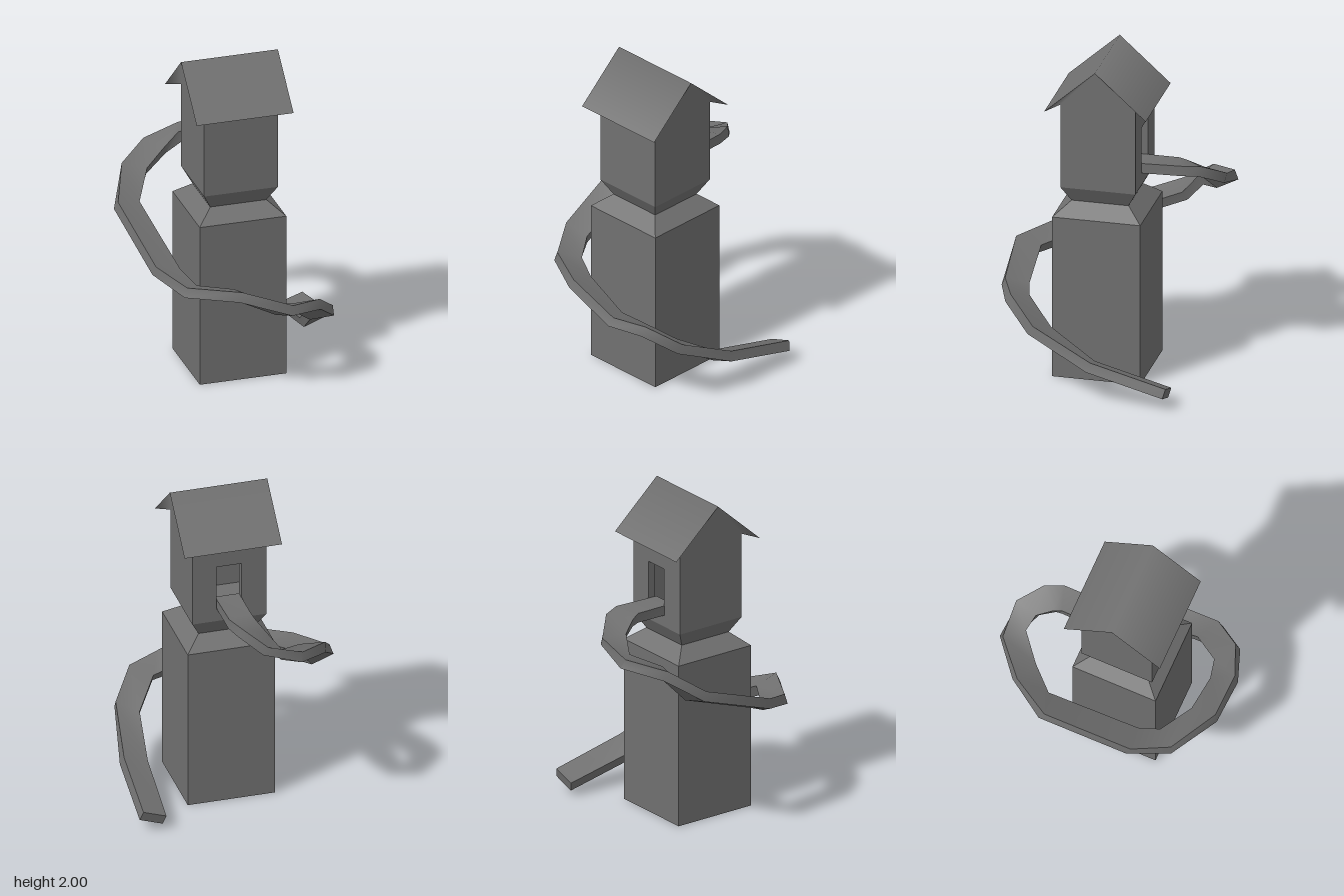
import * as THREE from 'three';
import { toCreasedNormals } from 'three/addons/utils/BufferGeometryUtils.js';

const makeMat = (flat = true) => new THREE.MeshStandardMaterial({ color: 0x707070, flatShading: flat, side: THREE.DoubleSide });

function add(parent, name, geometry, material = makeMat()) {
  const mesh = new THREE.Mesh(geometry, material);
  mesh.name = name;
  parent.add(mesh);
  return mesh;
}

// Square block or frustum given by half widths and heights
function squareBlock(halfBottom, halfTop, y0, y1) {
  const g = new THREE.CylinderGeometry(halfTop * Math.SQRT2, halfBottom * Math.SQRT2, y1 - y0, 4);
  g.rotateY(Math.PI / 4);
  g.translate(0, (y0 + y1) / 2, 0);
  return g;
}

// Indexed surface; normals are given where the shading should blend
function fromPoints(points, index, normals) {
  const g = new THREE.BufferGeometry();
  g.setAttribute('position', new THREE.Float32BufferAttribute(points.flat(), 3));
  g.setIndex(index);
  if (normals) {
    g.setAttribute('normal', new THREE.Float32BufferAttribute(normals.flat(), 3));
    g.normalizeNormals();
  } else g.computeVertexNormals();
  return g;
}

// Cabin: three plain walls and a back wall with a doorway
const HALF = 0.23, WALL = 0.05, FLOOR = 1.21, TOP = 1.745;
function buildCabin(parent) {
  const h = TOP - FLOOR, mid = (TOP + FLOOR) / 2;
  add(parent, 'frontWall', new THREE.BoxGeometry(HALF * 2, h, WALL)).position.set(0, mid, HALF - WALL / 2);
  for (const s of [-1, 1]) {
    add(parent, s > 0 ? 'leftWall' : 'rightWall', new THREE.BoxGeometry(WALL, h, HALF * 2))
      .position.set(s * (HALF - WALL / 2), mid, 0);
  }
  const rect = (path, x0, x1, y0, y1) => {
    path.moveTo(x0, y0);
    path.lineTo(x1, y0);
    path.lineTo(x1, y1);
    path.lineTo(x0, y1);
    path.closePath();
    return path;
  };
  const wall = rect(new THREE.Shape(), -HALF, HALF, FLOOR, TOP);
  wall.holes.push(rect(new THREE.Path(), -0.075, 0.08, 1.29, 1.58));
  add(parent, 'backWall', new THREE.ExtrudeGeometry(wall, { depth: WALL, bevelEnabled: false })).position.z = -HALF;
}

// Gabled roof: softly rounded slopes, with soffits and gables joining them to the walls
function buildRoof(parent) {
  const X = 0.302, Z = 0.312, EAVE = 1.72, RIDGE = 2;
  const front = [0, Z, RIDGE - EAVE], back = [0, Z, EAVE - RIDGE], up = [0, 1, 0];
  add(parent, 'roofSlopes', fromPoints(
    [[-X, EAVE, Z], [X, EAVE, Z], [-X, RIDGE, 0], [X, RIDGE, 0], [-X, EAVE, -Z], [X, EAVE, -Z]],
    [0, 1, 3, 0, 3, 2, 2, 3, 5, 2, 5, 4],
    [front, front, up, up, back, back]), makeMat(false));
  for (const s of [-1, 1]) {
    add(parent, 'roofSoffit', fromPoints(
      [[-X, EAVE, s * Z], [X, EAVE, s * Z], [HALF, TOP, s * HALF], [-HALF, TOP, s * HALF]],
      s > 0 ? [0, 3, 2, 0, 2, 1] : [0, 2, 3, 0, 1, 2]));
    const out = [s, 0, 0];
    add(parent, 'roofGable', fromPoints(
      [[s * X, EAVE, Z], [s * HALF, TOP, HALF], [s * X, RIDGE, 0], [s * HALF, TOP, -HALF], [s * X, EAVE, -Z]],
      s > 0 ? [0, 2, 1, 1, 2, 3, 3, 2, 4].reverse() : [0, 2, 1, 1, 2, 3, 3, 2, 4],
      [[s * 0.45, -0.66, -0.6], out, out, out, [s * 0.45, -0.66, 0.6]]), makeMat(false));
  }
}

// Slide: top edge points of each section, outer x y z then inner x y z
const SLIDE = [
  [0.06, 1.345, -0.11, -0.09, 1.345, -0.11],
  [0.06, 1.355, -0.41, -0.09, 1.345, -0.36],
  [0.015, 1.345, -0.52, -0.105, 1.325, -0.41],
  [-0.113, 1.265, -0.645, -0.155, 1.27, -0.5],
  [-0.33, 1.195, -0.637, -0.23, 1.17, -0.53],
  [-0.52, 1.135, -0.46, -0.38, 1.11, -0.4],
  [-0.61, 0.985, -0.245, -0.465, 0.955, -0.28],
  [-0.54, 0.785, 0.285, -0.385, 0.745, 0.265],
  [-0.41, 0.72, 0.49, -0.315, 0.675, 0.38],
  [-0.115, 0.72, 0.65, -0.12, 0.675, 0.497],
  [0.205, 0.585, 0.637, 0.145, 0.54, 0.502],
  [0.395, 0.565, 0.555, 0.27, 0.52, 0.472],
  [0.53, 0.43, 0.385, 0.405, 0.385, 0.305],
  [0.585, 0.255, 0.02, 0.435, 0.205, 0.03],
  [0.602, 0.14, -0.447, 0.46, 0.092, -0.447],
];

function slideGeometry(thickness) {
  const rows = SLIDE.map((r) => [new THREE.Vector3(...r.slice(0, 3)), new THREE.Vector3(...r.slice(3))]);
  const mids = rows.map(([o, i]) => o.clone().add(i).multiplyScalar(0.5));
  const last = rows.length - 1;
  const points = [], index = [];
  rows.forEach(([outer, inner], n) => {
    // Thickness runs square to the path and to the banked top
    const along = mids[Math.min(n + 1, last)].clone().sub(mids[Math.max(n - 1, 0)]);
    const down = outer.clone().sub(inner).cross(along).normalize();
    down.multiplyScalar(down.y > 0 ? -thickness : thickness);
    for (const p of [outer, inner, inner.clone().add(down), outer.clone().add(down)]) points.push(p.toArray());
    if (n === last) return;
    for (let k = 0; k < 4; k++) {
      const a = n * 4 + k, b = n * 4 + (k + 1) % 4;
      index.push(a, a + 4, b + 4, a, b + 4, b);
    }
  });
  const e = last * 4;
  index.push(0, 1, 2, 0, 2, 3, e, e + 2, e + 1, e, e + 3, e + 2);
  // Smooth along the run, sharp along the long edges
  return toCreasedNormals(fromPoints(points, index), 1);
}

export function createModel() {
  const model = new THREE.Group();
  model.name = 'slideTower';

  const tower = new THREE.Group();
  tower.name = 'tower';
  tower.position.set(-0.0135, 0, 0.065);
  model.add(tower);

  add(tower, 'base', squareBlock(0.27, 0.27, 0, 1.03));
  add(tower, 'shoulder', squareBlock(0.27, 0.175, 1.03, 1.11));
  add(tower, 'cabinFlare', squareBlock(0.175, HALF, 1.11, FLOOR));
  buildCabin(tower);
  buildRoof(tower);

  add(model, 'spiralSlide', slideGeometry(0.062), makeMat(false));
  return model;
}
